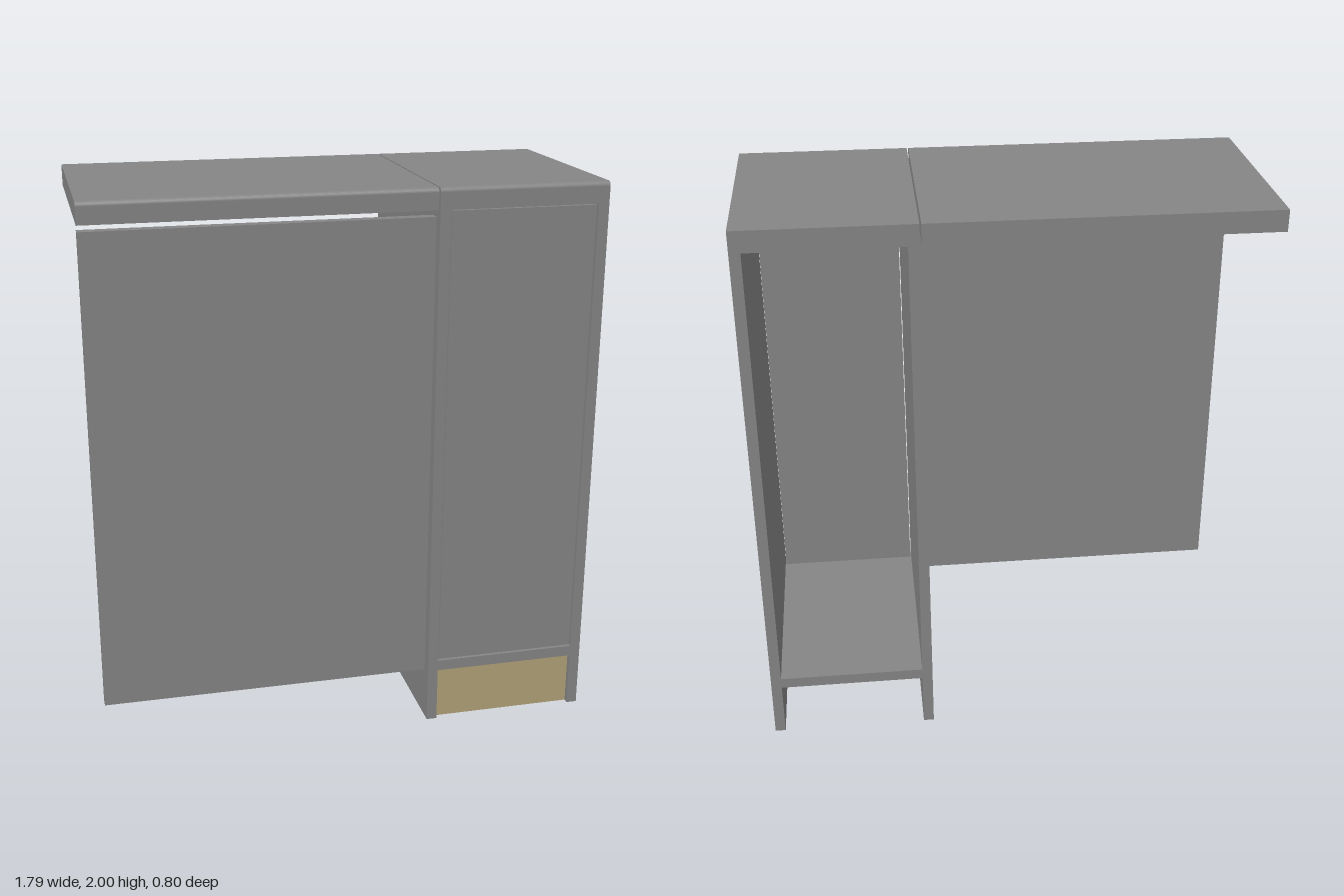
import * as THREE from 'three';

const grey = new THREE.MeshStandardMaterial({ color: 0x858585, flatShading: true });
const tan = new THREE.MeshStandardMaterial({ color: 0xb2a278, flatShading: true });

const FRONT = 0.4, BACK = -0.4, TOP = 2, EDGE = 0.016;

// Box given by its limits on each axis
function panel(name, [x0, x1], [y0, y1], [z0, z1], material = grey) {
  const mesh = new THREE.Mesh(new THREE.BoxGeometry(x1 - x0, y1 - y0, z1 - z0), material);
  mesh.position.set((x0 + x1) / 2, (y0 + y1) / 2, (z0 + z1) / 2);
  mesh.name = name;
  return mesh;
}

// Full-depth board whose upper front edge is rounded, extruded along x
function roundedBoard(name, [x0, x1], y0) {
  const s = new THREE.Shape(); // shape x runs towards the back
  s.moveTo(-FRONT, y0);
  s.lineTo(-BACK, y0);
  s.lineTo(-BACK, TOP);
  s.lineTo(-FRONT + EDGE, TOP);
  s.absarc(-FRONT + EDGE, TOP - EDGE, EDGE, Math.PI / 2, Math.PI, false);
  s.closePath();
  const geometry = new THREE.ExtrudeGeometry(s, { depth: x1 - x0, bevelEnabled: false, curveSegments: 6 });
  geometry.rotateY(Math.PI / 2);
  const mesh = new THREE.Mesh(geometry, grey);
  mesh.position.x = x0;
  mesh.name = name;
  return mesh;
}

export function createModel() {
  const model = new THREE.Group();
  model.name = 'kitchenUnit';

  // Narrow cabinet, open at the back, its door set in slightly
  const L = 0.897, R = 0.297, T = 0.038, GAP = 0.004;
  const inner = [R + T, L - T];
  const cabinet = new THREE.Group();
  cabinet.name = 'cabinet';
  cabinet.add(
    roundedBoard('leftSide', [L - T, L], 0),
    roundedBoard('rightSide', [R, R + T], 0),
    roundedBoard('cabinetTop', inner, 1.925),
    panel('cabinetFloor', inner, [0.203, 0.243], [BACK, FRONT]),
    panel('cabinetDoor', [inner[0] + GAP, inner[1] - GAP], [0.243 + GAP, 1.925 - GAP], [0.355, 0.394]),
    panel('plinth', inner, [0, 0.203], [0.34, 0.38], tan)
  );

  // Worktop and appliance front beside the cabinet
  model.add(
    cabinet,
    roundedBoard('worktop', [-0.897, 0.291], 1.925),
    panel('applianceDoor', [-0.895, 0.29], [0.203, 1.9], [0.34, 0.38])
  );
  return model;
}
